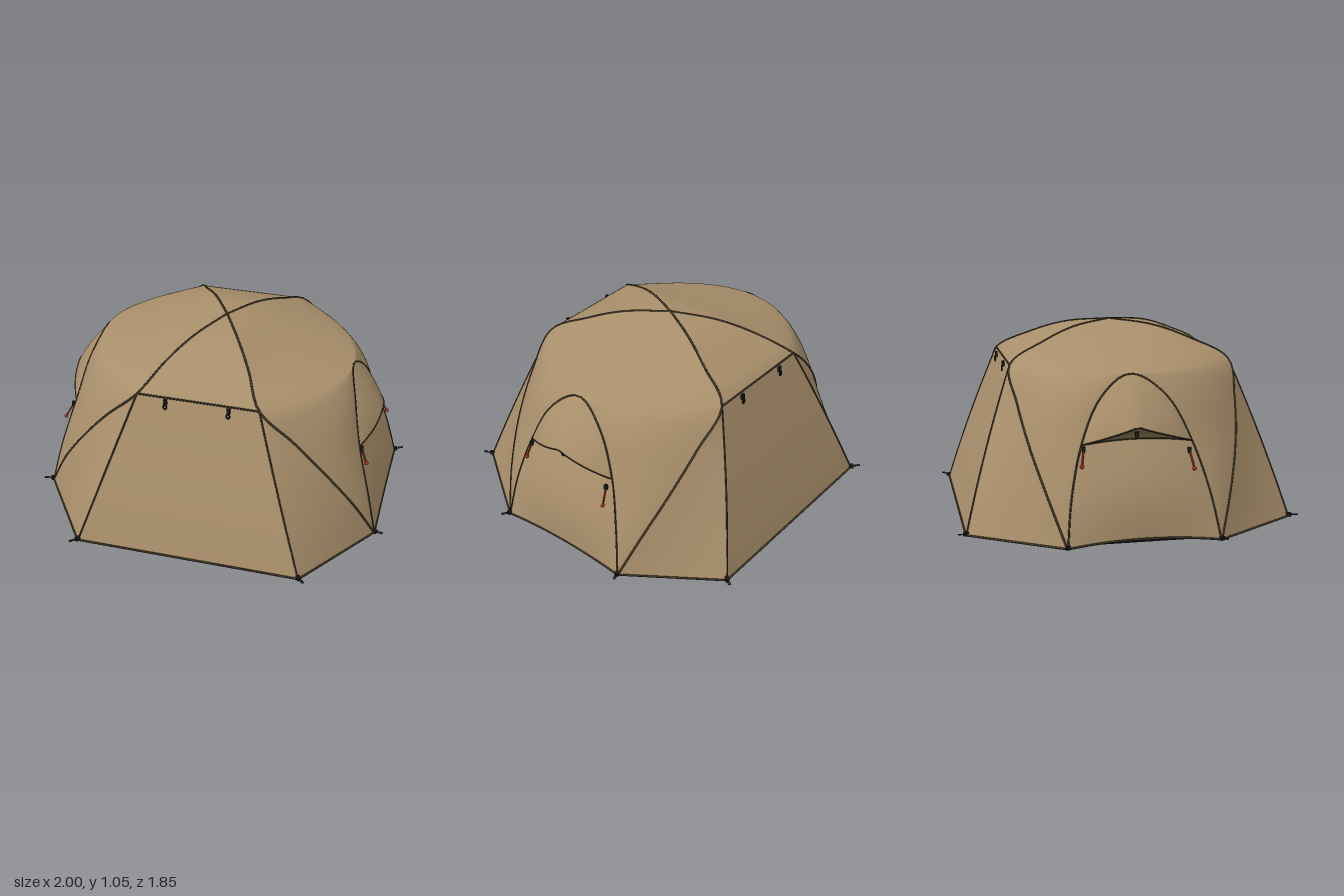
import * as THREE from 'three';

const V = (x, y, z) => new THREE.Vector3(x, y, z);
const spline = (pts) => new THREE.CatmullRomCurve3(pts.map((p) => V(...p)), false, 'catmullrom', 0.5);

const material = (name, color, side = THREE.FrontSide) => {
  const m = new THREE.MeshStandardMaterial({ color, side });
  m.name = name;
  return m;
};

export function createModel() {
  const canvas = material('tan canvas', 0xa98f6b, THREE.DoubleSide);
  const mesh = material('olive vent mesh', 0x7a6e4a, THREE.DoubleSide);
  const seam = material('dark brown seam', 0x3d3424);
  const dark = material('black fittings', 0x1c1c1a);
  const red = material('red cord', 0xa8321f);
  const mat = material('black floor', 0x141414);

  const add = (parent, name, geometry, mtl) => {
    const m = new THREE.Mesh(geometry, mtl);
    m.name = name;
    parent.add(m);
    return m;
  };

  // Smooth sheet of cloth from a rule f(u, v)
  const sheet = (parent, name, nu, nv, f, mtl = canvas) => {
    const pos = [], idx = [];
    for (let j = 0; j <= nv; j++)
      for (let i = 0; i <= nu; i++) pos.push(...f(i / nu, j / nv).toArray());
    for (let j = 0; j < nv; j++)
      for (let i = 0; i < nu; i++) {
        const a = j * (nu + 1) + i, b = a + 1, c = a + nu + 1, d = c + 1;
        idx.push(a, b, d, a, d, c);
      }
    const g = new THREE.BufferGeometry();
    g.setAttribute('position', new THREE.Float32BufferAttribute(pos, 3));
    g.setIndex(idx);
    g.computeVertexNormals();
    return add(parent, name, g, mtl);
  };

  // Thin seam tube along a rule f(t)
  const piping = (parent, name, f, n = 32, r = 0.005, mtl = seam) => {
    const pts = Array.from({ length: n + 1 }, (_, i) => f(i / n));
    return add(parent, name, new THREE.TubeGeometry(new THREE.CatmullRomCurve3(pts), n, r, 6), mtl);
  };
  const line = (parent, name, a, b, r, mtl) => piping(parent, name, (t) => a.clone().lerp(b, t), 2, r, mtl);

  // Guiding curves: pole from apex over the eave corner to the ground, ridge, and side arch
  const poleCurve = spline([
    [0, 1.04, 0], [0.12, 1.015, 0.22], [0.225, 0.95, 0.41], [0.33, 0.845, 0.605],
    [0.51, 0.67, 0.59], [0.68, 0.465, 0.548], [0.83, 0.24, 0.48], [0.95, 0, 0.4],
  ]);
  const KNEE = 3 / 7;
  const pole = (t, sz = 1) => poleCurve.getPoint(t).multiply(V(1, 1, sz));
  const ridge = spline([[0, 1.04, 0], [0.15, 1.01, 0], [0.37, 0.943, 0.01], [0.72, 0.845, 0.03]]);
  const half = [[0.95, 0, 0.4, 0], [0.892, 0.25, 0.36, 0.01], [0.82, 0.505, 0.288, 0.018], [0.765, 0.73, 0.175, 0.024]];
  const arch = spline([
    ...half.map(([x, y, z, s]) => [x, y, z + s]),
    [0.72, 0.845, 0.03],
    ...half.slice().reverse().map(([x, y, z, s]) => [x, y, -z + s]),
  ]);
  const innerEdge = (t, sz) => {
    if (t <= KNEE) return ridge.getPoint(t / KNEE);
    const k = (t - KNEE) / (1 - KNEE);
    return arch.getPoint(0.5 - sz * 0.5 * k);
  };
  const eave = V(0.33, 0.845, 0.605), foot = V(0.62, 0, 0.88);
  const hump = (w) => 4 * w * (1 - w);

  // Front wall and front roof
  const frontHalf = () => {
    const g = new THREE.Group();
    g.name = 'frontPanels';
    const wallEdge = (v, sx = 1) => {
      const p = eave.clone().lerp(foot, v);
      p.z += 0.012 * hump(v);
      p.x *= sx;
      return p;
    };
    sheet(g, 'frontWall', 12, 12, (u, v) => wallEdge(v, -1).lerp(wallEdge(v), u));
    sheet(g, 'frontRoof', 12, 16, (u, v) => {
      const p = pole(v * KNEE);
      p.x *= 2 * u - 1;
      return p;
    });
    line(g, 'eaveSeam', V(-0.33, 0.845, 0.605), eave, 0.005, seam);
    line(g, 'frontHem', V(-0.62, 0.006, 0.88), V(0.62, 0.006, 0.88), 0.006, seam);
    for (const s of [-1, 1]) {
      piping(g, 'frontSeam', (t) => wallEdge(t, s), 12);
      // Corner panel between the wall seam and the pole
      sheet(g, 'cornerPanel', 10, 20, (u, v) => {
        const p = pole(KNEE + v * (1 - KNEE));
        p.x *= s;
        return wallEdge(v, s).lerp(p, u);
      });
      line(g, 'cornerHem', V(s * 0.62, 0.006, 0.88), V(s * 0.95, 0.006, 0.4), 0.006, seam);
      // Hanging toggle under the eave
      const strap = add(g, 'toggleStrap', new THREE.BoxGeometry(0.018, 0.032, 0.014), dark);
      strap.position.set(s * 0.17, 0.828, 0.622);
      const ring = add(g, 'toggleRing', new THREE.TorusGeometry(0.009, 0.004, 6, 12), dark);
      ring.scale.y = 1.3;
      ring.position.set(s * 0.17, 0.802, 0.63);
    }
    return g;
  };

  // Side: roof and wall around the arch, with door, vent and hood
  const sideHalf = () => {
    const g = new THREE.Group();
    g.name = 'sidePanels';
    for (const s of [1, -1]) {
      sheet(g, 'sidePanel', 16, 42, (u, t) => {
        const a = pole(t, s), b = innerEdge(t, s);
        const k = t <= KNEE ? 1 : 1 - 0.75 * (t - KNEE) / (1 - KNEE);
        const e = u + k * u * (1 - u);
        return V(a.x + (b.x - a.x) * e, a.y + (b.y - a.y) * e, a.z + (b.z - a.z) * u);
      });
      piping(g, 'poleSeam', (t) => pole(t, s), 42, 0.006);
    }
    piping(g, 'archSeam', (t) => arch.getPoint(t), 48);

    const door = (w, v) => {
      const p = arch.getPoint(0.25 * v).lerp(arch.getPoint(1 - 0.25 * v), w);
      p.x += hump(w) * (0.03 * Math.sin(Math.PI * v) + 0.012 * v);
      p.y += hump(w) * (0.03 * (1 - v) + 0.025 * v);
      return p;
    };
    const brim = (w) => {
      const p = arch.getPoint(0.25).lerp(arch.getPoint(0.75), w);
      const tip = 1 - Math.abs(2 * w - 1);
      p.x += 0.08 * hump(w);
      p.y += 0.095 * tip;
      p.z += 0.012 * tip;
      return p;
    };
    sheet(g, 'sideDoor', 20, 16, door);
    sheet(g, 'sideVent', 20, 4, (w, v) => {
      const p = door(w, 1).lerp(brim(w), v);
      p.x -= 0.02 * hump(v) * hump(w);
      return p;
    }, mesh);
    sheet(g, 'ventHood', 24, 10, (w, v) => {
      const p = arch.getPoint(0.25 + 0.5 * w).lerp(brim(w), v);
      p.x += 0.012 * hump(v) * hump(w);
      return p;
    });
    piping(g, 'hoodEdge', brim, 24, 0.004);
    piping(g, 'doorTopSeam', (w) => door(w, 1), 20, 0.004);
    piping(g, 'doorHem', (w) => door(w, 0).add(V(0, 0.006, 0)), 20, 0.006);
    const clip = add(g, 'ventClip', new THREE.BoxGeometry(0.012, 0.028, 0.018), dark);
    clip.position.set(0.866, 0.558, 0.03);

    // Red pull cords below the hood corners
    for (const [a, b] of [
      [V(0.832, 0.485, 0.297), V(0.866, 0.405, 0.312)],
      [V(0.848, 0.46, -0.25), V(0.895, 0.375, -0.265)],
    ]) {
      const buckle = add(g, 'cordBuckle', new THREE.BoxGeometry(0.018, 0.028, 0.016), dark);
      buckle.position.copy(a);
      line(g, 'pullCord', a, b, 0.005, red);
      const knob = add(g, 'cordEnd', new THREE.SphereGeometry(0.011, 10, 8), red);
      knob.position.copy(b);
    }
    return g;
  };

  // Ground stake with a ring at its outer end
  const stake = (x, z, dx, dz) => {
    const g = new THREE.Group();
    g.name = 'groundStake';
    const block = add(g, 'stakeClip', new THREE.BoxGeometry(0.026, 0.02, 0.02), dark);
    block.position.set(x, 0.014, z);
    block.rotation.y = -Math.atan2(dz, dx);
    for (const k of [-0.005, 0.005])
      line(g, 'stakeRod', V(x - dz * k, 0.012, z + dx * k), V(x + dx * 0.038 - dz * k, 0.02, z + dz * 0.038 + dx * k), 0.0025, dark);
    const ring = add(g, 'stakeRing', new THREE.TorusGeometry(0.007, 0.0025, 6, 12), dark);
    ring.rotation.x = Math.PI / 2;
    ring.position.set(x + dx * 0.044, 0.021, z + dz * 0.044);
    return g;
  };

  const tent = new THREE.Group();
  tent.name = 'tent';
  for (const turn of [0, Math.PI]) {
    const part = new THREE.Group();
    part.name = turn ? 'rearHalf' : 'frontHalf';
    part.add(frontHalf(), sideHalf());
    for (const s of [1, -1]) {
      part.add(stake(s * 0.62, 0.88, s * 0.62, 0.785));
      part.add(stake(0.95, s * 0.4, 0.93, s * 0.36));
    }
    part.rotation.y = turn;
    tent.add(part);
  }

  // Floor slab inside
  const floor = add(tent, 'floorMat', new THREE.BoxGeometry(1.78, 0.055, 0.66), mat);
  floor.position.y = 0.0275;
  return tent;
}
